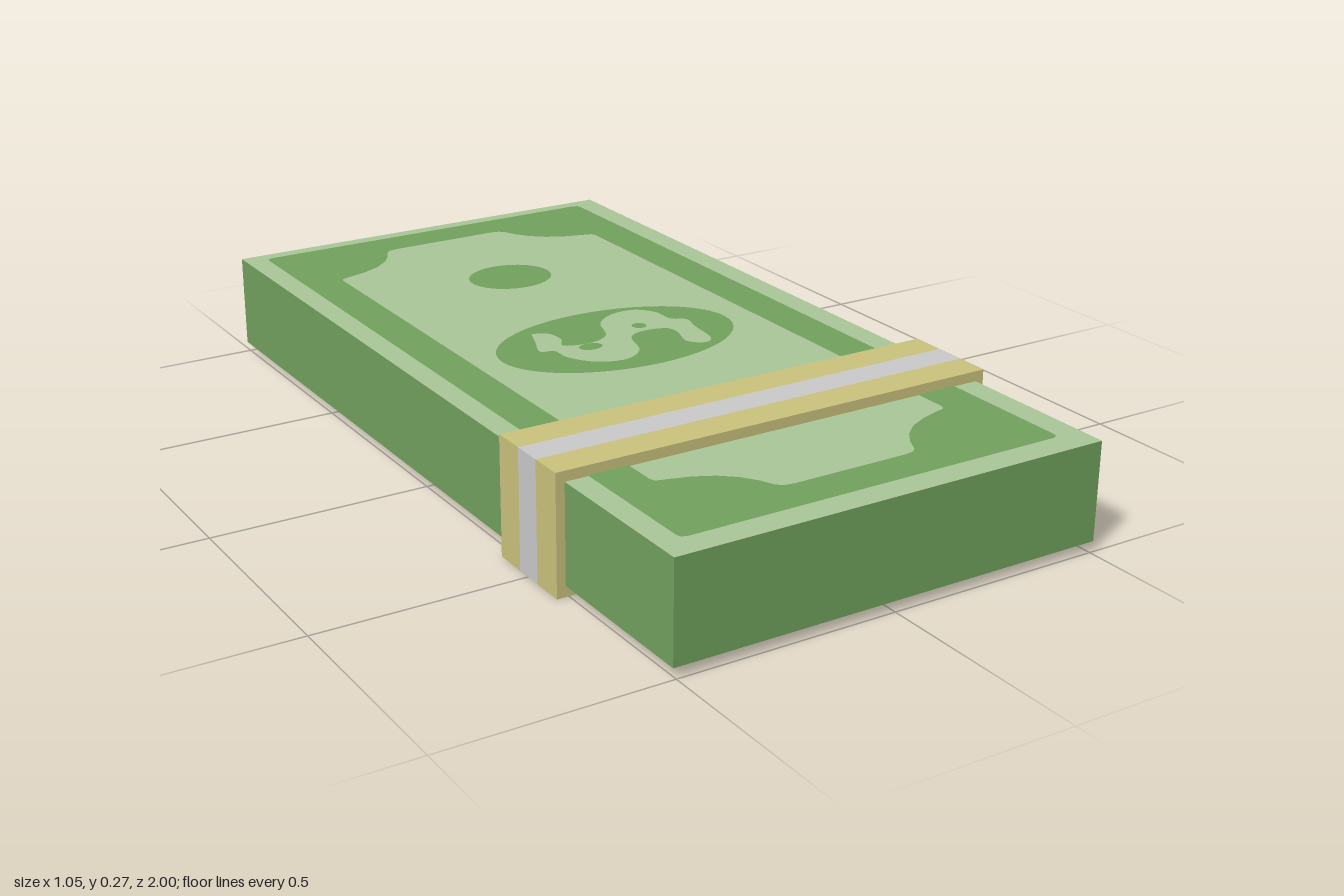
import * as THREE from 'three';

const green = new THREE.MeshStandardMaterial({ name: 'green', color: 0x71a05d });
const paleGreen = new THREE.MeshStandardMaterial({ name: 'paleGreen', color: 0xaac598 });
const straw = new THREE.MeshStandardMaterial({ name: 'straw', color: 0xc9c17c });
const lightGrey = new THREE.MeshStandardMaterial({ name: 'lightGrey', color: 0xc9c9c9 });

const BOTTOM = 0.024, TOP = 0.245, HALF_WIDTH = 0.507;

// Points are given as [x, z] seen from above.
const toVectors = (points) => points.map(([x, z]) => new THREE.Vector2(x, -z));

function ellipse(x, z, rx, rz) {
  return new THREE.Shape().absellipse(x, -z, rx, rz, 0, Math.PI * 2);
}

// Outline repeated in four corners from one quarter, listed from side to end.
function fourCorners(quarter, cx, cz) {
  const back = [...quarter].reverse();
  const place = (list, sx, sz) => list.map(([x, z]) => [cx + sx * x, cz + sz * z]);
  return toVectors([
    ...place(quarter, 1, 1), ...place(back, -1, 1),
    ...place(quarter, -1, -1), ...place(back, 1, -1),
  ]);
}

// Curling ornament cut out of the central medallion.
const scroll = [
  [-0.16, -0.135], [-0.125, -0.115], [-0.12, -0.07], [-0.135, -0.03], [-0.075, -0.015],
  [-0.02, -0.04], [0.01, -0.115], [0.065, -0.155], [0.125, -0.155], [0.16, -0.115],
  [0.165, -0.06], [0.195, -0.035], [0.185, 0.015], [0.175, 0.095], [0.145, 0.115],
  [0.115, 0.085], [0.13, 0.025], [0.12, -0.01], [0.06, -0.02], [0.02, 0.005],
  [-0.005, 0.08], [-0.06, 0.115], [-0.125, 0.095], [-0.165, 0.04], [-0.17, -0.01],
  [-0.2, -0.025], [-0.18, -0.08], [-0.16, -0.135],
];

function printedFace(name) {
  const face = new THREE.Group();
  face.name = name;
  const add = (part, shape) => {
    const geometry = new THREE.ShapeGeometry(shape, 24).rotateX(-Math.PI / 2);
    const mesh = new THREE.Mesh(geometry, green);
    mesh.name = part;
    face.add(mesh);
  };

  // Border with scalloped inner corners
  const border = new THREE.Shape(fourCorners(
    [[0.451, 0.935], [0.448, 0.947], [0.436, 0.952]], -0.005, -0.01));
  border.holes.push(new THREE.Path(fourCorners([
    [0.357, 0.7], [0.352, 0.711], [0.33, 0.717], [0.285, 0.73], [0.24, 0.752],
    [0.205, 0.782], [0.182, 0.815], [0.168, 0.845], [0.157, 0.856], [0.135, 0.86],
  ], -0.007, -0.007)));
  add('border', border);

  // Medallion with its cut-out and the two dots inside it
  const medallion = ellipse(-0.01, -0.01, 0.292, 0.185);
  const curve = new THREE.SplineCurve(toVectors(scroll));
  medallion.holes.push(new THREE.Path(curve.getPoints(120).slice(0, -1)));
  add('medallion', medallion);
  add('scrollDot', ellipse(-0.087, 0.006, 0.028, 0.02));
  add('scrollDot', ellipse(0.078, -0.056, 0.017, 0.017));

  // Small seals toward both ends
  for (const z of [-0.521, 0.505]) add('seal', ellipse(-0.003, z, 0.103, 0.09));
  return face;
}

// One slice of the paper band: a rectangular ring running around the stack.
function bandRing(name, z0, z1, material) {
  const w = 0.527, h = 0.268;
  const ring = new THREE.Shape(toVectors([[-w, 0], [w, 0], [w, -h], [-w, -h]]));
  ring.holes.push(new THREE.Path(toVectors([
    [-HALF_WIDTH, -BOTTOM], [HALF_WIDTH, -BOTTOM], [HALF_WIDTH, -TOP], [-HALF_WIDTH, -TOP],
  ])));
  const geometry = new THREE.ExtrudeGeometry(ring, { depth: z1 - z0, bevelEnabled: false });
  const mesh = new THREE.Mesh(geometry, material);
  mesh.name = name;
  mesh.position.z = z0;
  return mesh;
}

export function createModel() {
  const model = new THREE.Group();
  model.name = 'banknoteBundle';

  // Stack: green sides, pale top and bottom
  const stack = new THREE.Mesh(
    new THREE.BoxGeometry(HALF_WIDTH * 2, TOP - BOTTOM, 2),
    [green, green, paleGreen, paleGreen, green, green]);
  stack.name = 'stack';
  stack.position.y = (TOP + BOTTOM) / 2;
  model.add(stack);

  // Printed faces, the lower one turned over
  const upper = printedFace('topPrint');
  upper.position.y = TOP + 0.002;
  const lower = printedFace('bottomPrint');
  lower.rotation.z = Math.PI;
  lower.position.y = BOTTOM - 0.002;
  model.add(upper, lower);

  // Paper band with a central stripe
  const band = new THREE.Group();
  band.name = 'band';
  band.add(
    bandRing('bandBackEdge', 0.391, 0.468, straw),
    bandRing('bandStripe', 0.468, 0.538, lightGrey),
    bandRing('bandFrontEdge', 0.538, 0.615, straw));
  model.add(band);
  return model;
}
